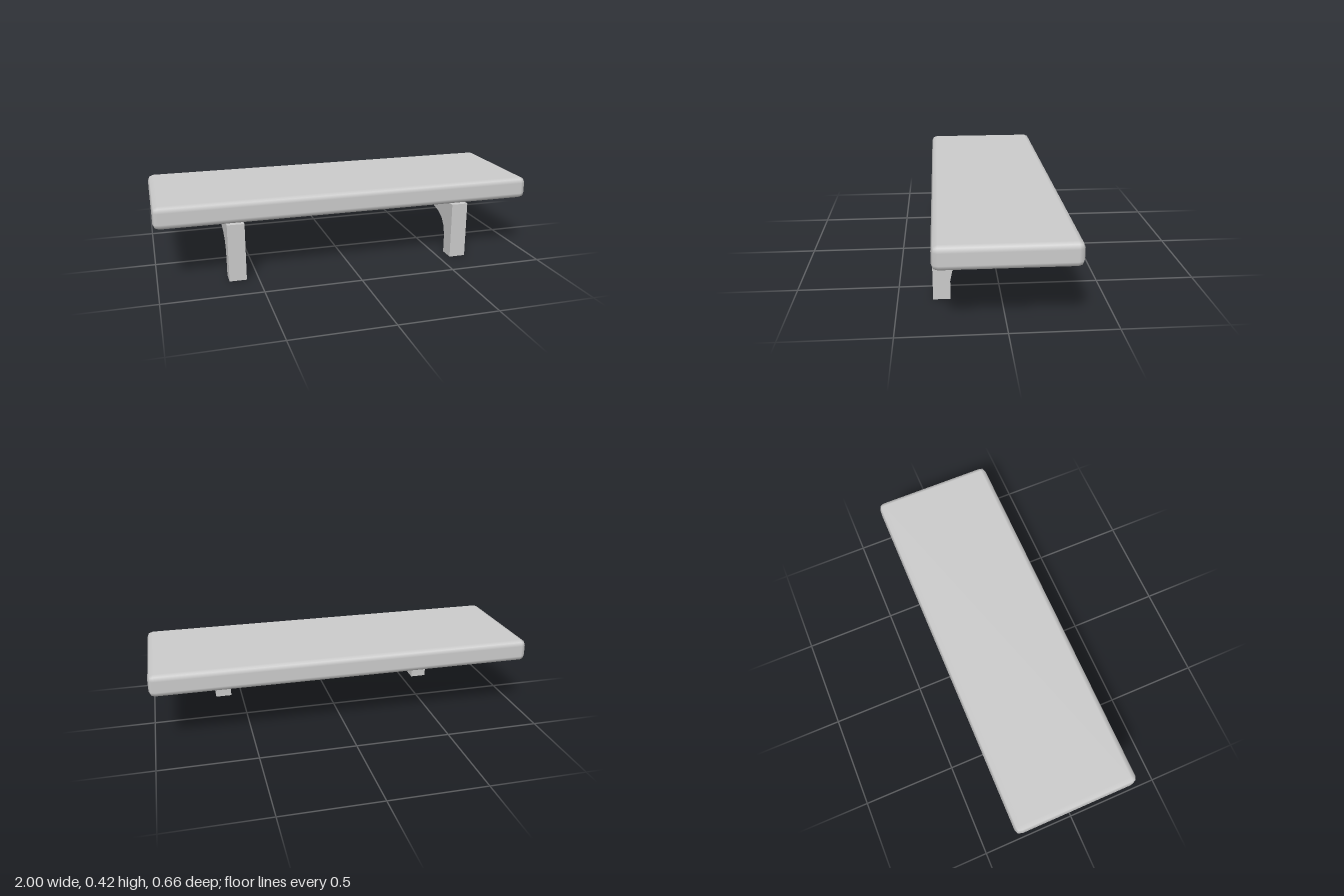
import * as THREE from 'three';
import { RoundedBoxGeometry } from 'three/addons/geometries/RoundedBoxGeometry.js';
import { toCreasedNormals } from 'three/addons/utils/BufferGeometryUtils.js';

const BOTTOM = 0.3, TOP = 0.417, DEPTH = 0.66;
const BRACKET_X = 0.605, BRACKET_WIDTH = 0.088;

// Side profile of a bracket as (z, y): upright leg, curved elbow, tapering arm
function createBracketGeometry() {
  const profile = [
    [0.33, 0], [0.33, BOTTOM], [-0.215, BOTTOM], [0.157, 0.212],
    [0.205, 0.187], [0.236, 0.145], [0.246, 0.093], [0.246, 0],
  ].map(([z, y]) => new THREE.Vector2(z, y));
  const geometry = new THREE.ExtrudeGeometry(new THREE.Shape(profile), {
    depth: BRACKET_WIDTH, bevelEnabled: false,
  });
  geometry.translate(0, 0, -BRACKET_WIDTH / 2);
  geometry.rotateY(-Math.PI / 2);
  return toCreasedNormals(geometry, 0.6);
}

export function createModel() {
  const group = new THREE.Group();
  group.name = 'shelf';
  const material = new THREE.MeshStandardMaterial({ color: 0xcccccc });

  // Board with softly rounded edges
  const board = new THREE.Mesh(
    new RoundedBoxGeometry(2, TOP - BOTTOM, DEPTH, 1, 0.03), material);
  board.name = 'board';
  board.position.y = (TOP + BOTTOM) / 2;
  group.add(board);

  // Pair of support brackets
  const bracketGeometry = createBracketGeometry();
  for (const [name, side] of [['leftBracket', 1], ['rightBracket', -1]]) {
    const bracket = new THREE.Mesh(bracketGeometry, material);
    bracket.name = name;
    bracket.position.x = side * BRACKET_X;
    group.add(bracket);
  }
  return group;
}
